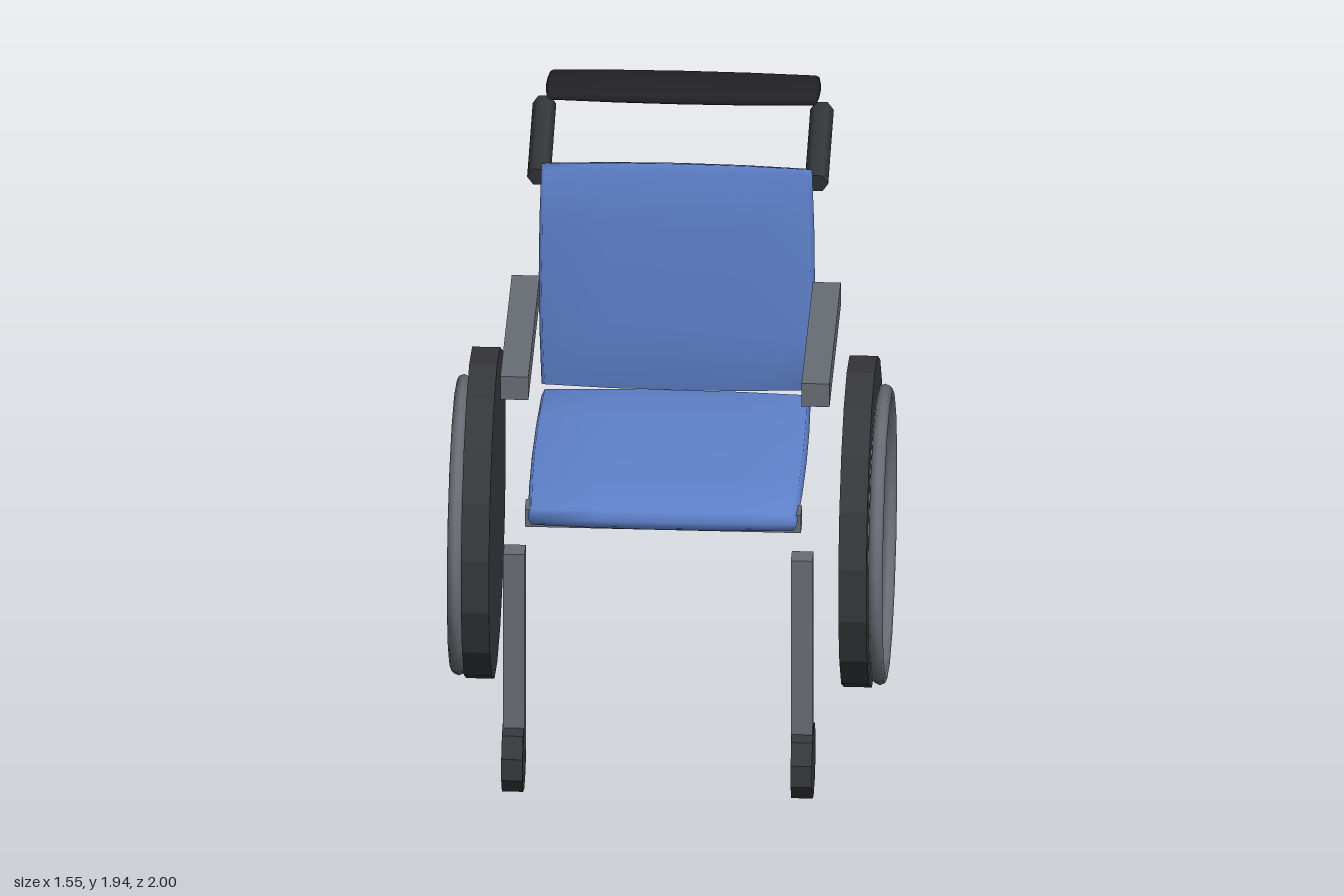
import * as THREE from 'three';
import { mergeVertices } from 'three/addons/utils/BufferGeometryUtils.js';

const mat = (color, flatShading = false) => new THREE.MeshStandardMaterial({ color, flatShading });
const blue = mat(0x5f82cc);
const tyre = mat(0x36373b, true);
const frame = mat(0x686c74, true);
const rimGrey = mat(0x686c74);
const hub = mat(0x9a9da5, true);
const dark = mat(0x36373b);
const black = mat(0x222225);

export function createModel() {
  const model = new THREE.Group();

  const add = (name, geometry, material, x, y, z) => {
    const mesh = new THREE.Mesh(geometry, material);
    mesh.name = name;
    mesh.position.set(x, y, z);
    model.add(mesh);
    return mesh;
  };

  // Thin padded slab, thickest in the middle, with softly shaded rounded edges
  const pad = (w, h, d) => {
    let g = new THREE.BoxGeometry(2, 2, 2, 4, 2, 4);
    const p = g.attributes.position;
    for (let i = 0; i < p.count; i++) {
      const u = p.getX(i), t = p.getY(i), v = p.getZ(i);
      const thin = (1 - 0.12 * u * u) * (1 - 0.3 * v * v);
      const inX = 0.012 * t * t + 0.01 * v * v;
      const inZ = 0.012 * t * t + 0.01 * u * u;
      p.setXYZ(i, u * (w / 2 - inX), t * thin * h / 2, v * (d / 2 - inZ));
    }
    g.deleteAttribute('normal');
    g.deleteAttribute('uv');
    g = mergeVertices(g);
    g.computeVertexNormals();
    return g;
  };

  // Disc lying on the x axis with a corner pointing straight up
  const disc = (r, width, sides) =>
    new THREE.CylinderGeometry(r, r, width, sides).rotateY(Math.PI / 2).rotateZ(Math.PI / 2);

  // Seat, backrest and the bar under the seat
  add('seat', pad(0.98, 0.1, 0.985), blue, 0, 0.938, 0.11);
  add('backrest', pad(0.985, 0.095, 0.9).rotateX(Math.PI / 2), blue, 0, 1.4, -0.422);
  add('seatCrossbar', new THREE.BoxGeometry(0.985, 0.07, 0.08), frame, 0, 0.92, 0.515);

  // Push bar behind the backrest
  add('pushBar', pad(0.98, 0.042, 0.23), black, 0, 1.92, -0.884);

  for (const [side, s] of [['left', 1], ['right', -1]]) {
    // Large wheel, its cover plate and the hand rim
    add(side + 'Wheel', disc(0.595, 0.1, 18), tyre, s * 0.673, 0.61, -0.085);
    add(side + 'WheelCover', disc(0.485, 0.02, 18), hub, s * 0.721, 0.57, -0.085);
    const rim = new THREE.TorusGeometry(0.515, 0.026, 8, 18).rotateZ(Math.PI / 2).rotateY(Math.PI / 2);
    add(side + 'HandRim', rim, rimGrey, s * 0.751, 0.56, -0.085);

    // Front caster on its post
    add(side + 'Caster', disc(0.137, 0.076, 10), tyre, s * 0.516, 0.137, 0.869);
    add(side + 'CasterPost', new THREE.BoxGeometry(0.077, 0.815, 0.077), frame, s * 0.513, 0.5475, 0.872);

    // Armrest
    add(side + 'Armrest', new THREE.BoxGeometry(0.1, 0.092, 0.795), frame, s * 0.537, 1.364, 0.013);

    // Six-sided handle sloping up and back
    const handle = new THREE.CylinderGeometry(0.042, 0.042, 0.4, 6).rotateY(Math.PI / 6);
    add(side + 'Handle', handle, dark, s * 0.495, 1.802, -0.678).rotation.x = -Math.atan2(0.387, 0.096);
  }
  return model;
}
